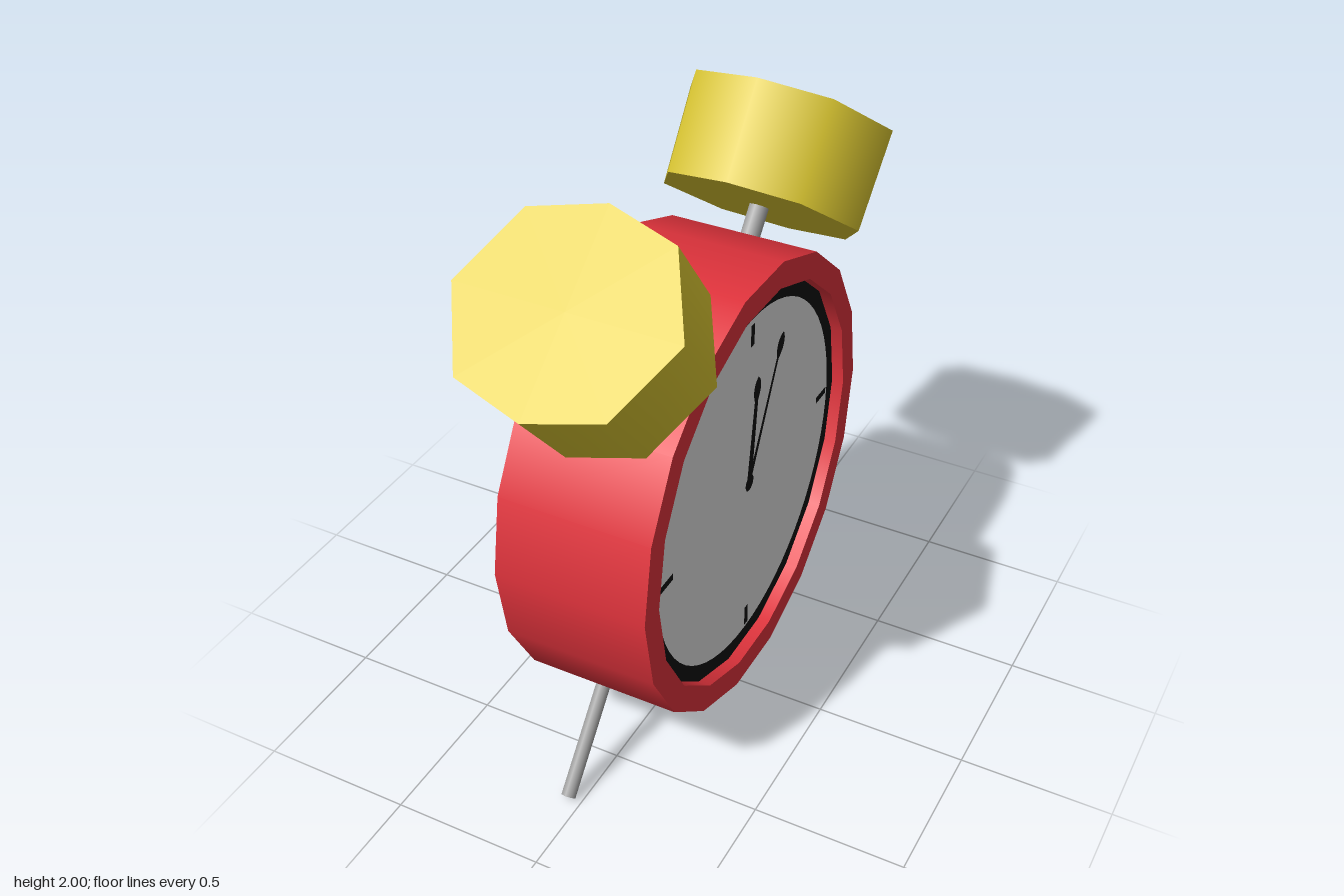
import * as THREE from 'three';
import { mergeGeometries } from 'three/addons/utils/BufferGeometryUtils.js';

const mat = (name, color) => {
  const m = new THREE.MeshStandardMaterial({ color });
  m.name = name;
  return m;
};

export function createModel() {
  const red = mat('red paint', 0xe0333c);
  const gold = mat('yellow bell', 0xdcc832);
  const grey = mat('grey metal', 0x9c9c9c);
  const white = mat('dial white', 0xe0e0e0);
  const black = mat('black', 0x101010);

  const clock = new THREE.Group();
  clock.name = 'alarmClock';
  const add = (parent, name, geometry, material) => {
    const mesh = new THREE.Mesh(geometry, material);
    mesh.name = name;
    parent.add(mesh);
    return mesh;
  };

  // Case: every profile segment is its own lathe so that rims stay sharp
  const CY = 0.857, SIDES = 18;
  const lathe = (profile) => {
    const parts = [];
    for (let i = 0; i + 1 < profile.length; i++) {
      const pair = [profile[i], profile[i + 1]].map(([r, y]) => new THREE.Vector2(r, y));
      parts.push(new THREE.LatheGeometry(pair, SIDES));
    }
    return mergeGeometries(parts).rotateZ(-Math.PI / 2).scale(1, 1.012, 1).translate(0, CY, 0);
  };
  add(clock, 'case', lathe([[0, -0.25], [0.742, -0.25], [0.742, 0.25], [0.657, 0.25], [0.657, 0.21]]), red);
  add(clock, 'dialRing', lathe([[0.657, 0.21], [0, 0.21]]), black);

  // Dial faces +x; inside this group x runs right and y up as seen by a reader
  const dial = new THREE.Group();
  dial.name = 'dial';
  dial.position.set(0.21, CY, 0);
  dial.rotation.y = Math.PI / 2;
  clock.add(dial);
  add(dial, 'dialFace', new THREE.CircleGeometry(0.6, 64), white).position.z = 0.003;

  // Hour ticks at the quarters
  for (let i = 0; i < 4; i++) {
    const tick = new THREE.PlaneGeometry(0.024, 0.075).translate(0, 0.547, 0.006).rotateZ(i * Math.PI / 2);
    add(dial, 'tick', tick, black);
  }

  // Hands: thin tapering bar ending in a leaf
  const hand = (name, length, width, leaf, angle) => {
    const s = new THREE.Shape();
    const neck = length - leaf * 2.6;
    s.moveTo(-width * 0.7, 0);
    s.lineTo(width * 0.7, 0);
    s.lineTo(width * 0.5, neck);
    s.quadraticCurveTo(leaf * 1.3, length - leaf * 0.9, 0, length);
    s.quadraticCurveTo(-leaf * 1.3, length - leaf * 0.9, -width * 0.5, neck);
    add(dial, name, new THREE.ShapeGeometry(s).rotateZ(-angle).translate(0, 0, 0.006), black);
  };
  hand('hourHand', 0.375, 0.024, 0.032, 0.13);
  hand('minuteHand', 0.49, 0.015, 0.034, 0.475);
  add(dial, 'handHub', new THREE.CircleGeometry(0.028, 16), black).position.z = 0.007;

  // Round rod between two points
  const rod = (name, a, b, radius) => {
    const from = new THREE.Vector3(...a), to = new THREE.Vector3(...b);
    const dir = to.clone().sub(from);
    const mesh = add(clock, name, new THREE.CylinderGeometry(radius, radius, dir.length(), 8), grey);
    mesh.position.copy(from).add(to).multiplyScalar(0.5);
    mesh.quaternion.setFromUnitVectors(new THREE.Vector3(0, 1, 0), dir.normalize());
  };

  // Bell: eight-sided drum, a little wider at the outer end
  const bellGeometry = () => {
    const g = new THREE.CylinderGeometry(1, 0.97, 0.325, 8);
    const p = g.attributes.position;
    for (let i = 0; i < p.count; i++) {
      const x = p.getX(i), z = p.getZ(i);
      const diagonal = Math.abs(x) > 0.1 && Math.abs(z) > 0.1;
      p.setX(i, x * (diagonal ? 0.23 / Math.SQRT1_2 : 0.35));
      p.setZ(i, z * (diagonal ? 0.25 / Math.SQRT1_2 : 0.316));
    }
    return g;
  };

  // Bells, stems and legs on the two ends
  for (const [side, s] of [['front', 1], ['back', -1]]) {
    const bell = add(clock, side + 'Bell', bellGeometry(), gold);
    bell.position.set(0, 1.673, 0.585 * s);
    bell.rotation.x = 0.687 * s;
    rod(side + 'Stem', [0, 1.38, 0.345 * s], [0, 1.56, 0.493 * s], 0.034);
    rod(side + 'Leg', [-0.042, 0.37, 0.44 * s], [-0.042, 0.02, 0.735 * s], 0.025);
  }
  return clock;
}
